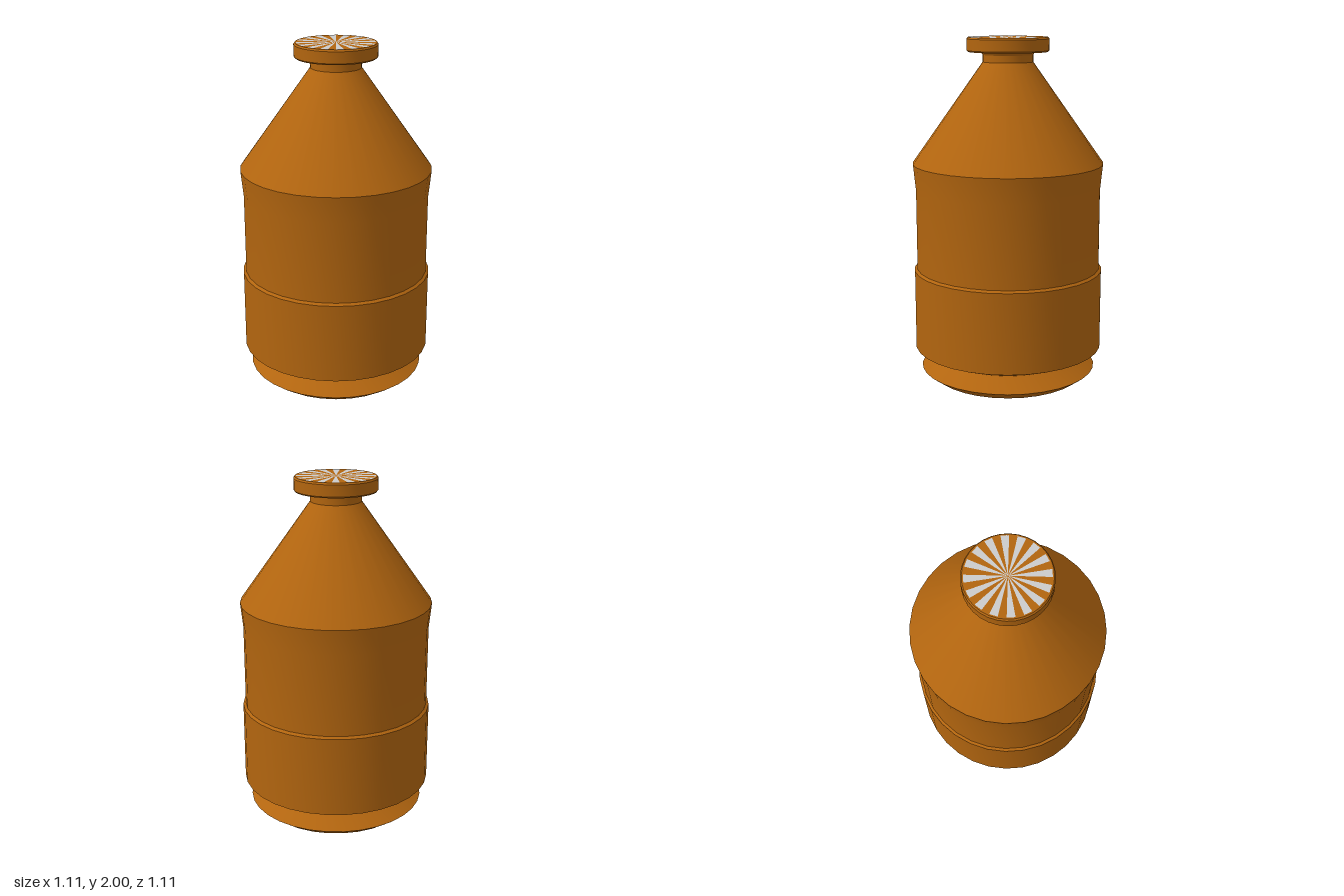
import * as THREE from 'three';
import { mergeGeometries, toCreasedNormals } from 'three/addons/utils/BufferGeometryUtils.js';

const SIDES = 32;
const amber = new THREE.MeshStandardMaterial({ color: 0xb2650f });
const grey = new THREE.MeshStandardMaterial({ color: 0xcccccc });

// Turned part from [radius, height] pairs, listed bottom to top
function turned(name, profile) {
  const points = profile.map(([r, y]) => new THREE.Vector2(r, y));
  const geometry = toCreasedNormals(new THREE.LatheGeometry(points, SIDES), 0.45);
  const mesh = new THREE.Mesh(geometry, amber);
  mesh.name = name;
  return mesh;
}

// Every second wedge of a flat disc facing up
function wedges(name, radius, y, first, material) {
  const step = (Math.PI * 2) / SIDES;
  const parts = [];
  for (let i = first; i < SIDES; i += 2) {
    parts.push(new THREE.CircleGeometry(radius, 1, i * step, step));
  }
  const mesh = new THREE.Mesh(mergeGeometries(parts).rotateX(-Math.PI / 2), material);
  mesh.position.y = y;
  mesh.name = name;
  return mesh;
}

export function createModel() {
  const bottle = new THREE.Group();
  bottle.name = 'bottle';

  // Bevelled foot ring with closed underside
  bottle.add(turned('foot', [[0, 0], [0.45, 0], [0.518, 0.05], [0.415, 0.12]]));

  // Wide lower band, slightly waisted middle, conical shoulder
  bottle.add(turned('body', [
    [0.415, 0.12], [0.555, 0.18], [0.555, 0.648], [0.54, 0.66],
    [0.54, 1.13], [0.555, 1.28], [0.145, 1.86],
  ]));

  // Short neck flaring under the cap
  bottle.add(turned('neck', [[0.145, 1.86], [0.145, 1.9], [0.155, 1.917]]));

  // Cap with small bevels and a striped top
  bottle.add(turned('cap', [
    [0.145, 1.917], [0.23, 1.917], [0.237, 1.925],
    [0.237, 1.99], [0.23, 2], [0.222, 2],
  ]));
  bottle.add(wedges('capStripesGrey', 0.222, 2, 0, grey));
  bottle.add(wedges('capStripesAmber', 0.222, 2, 1, amber));

  return bottle;
}
